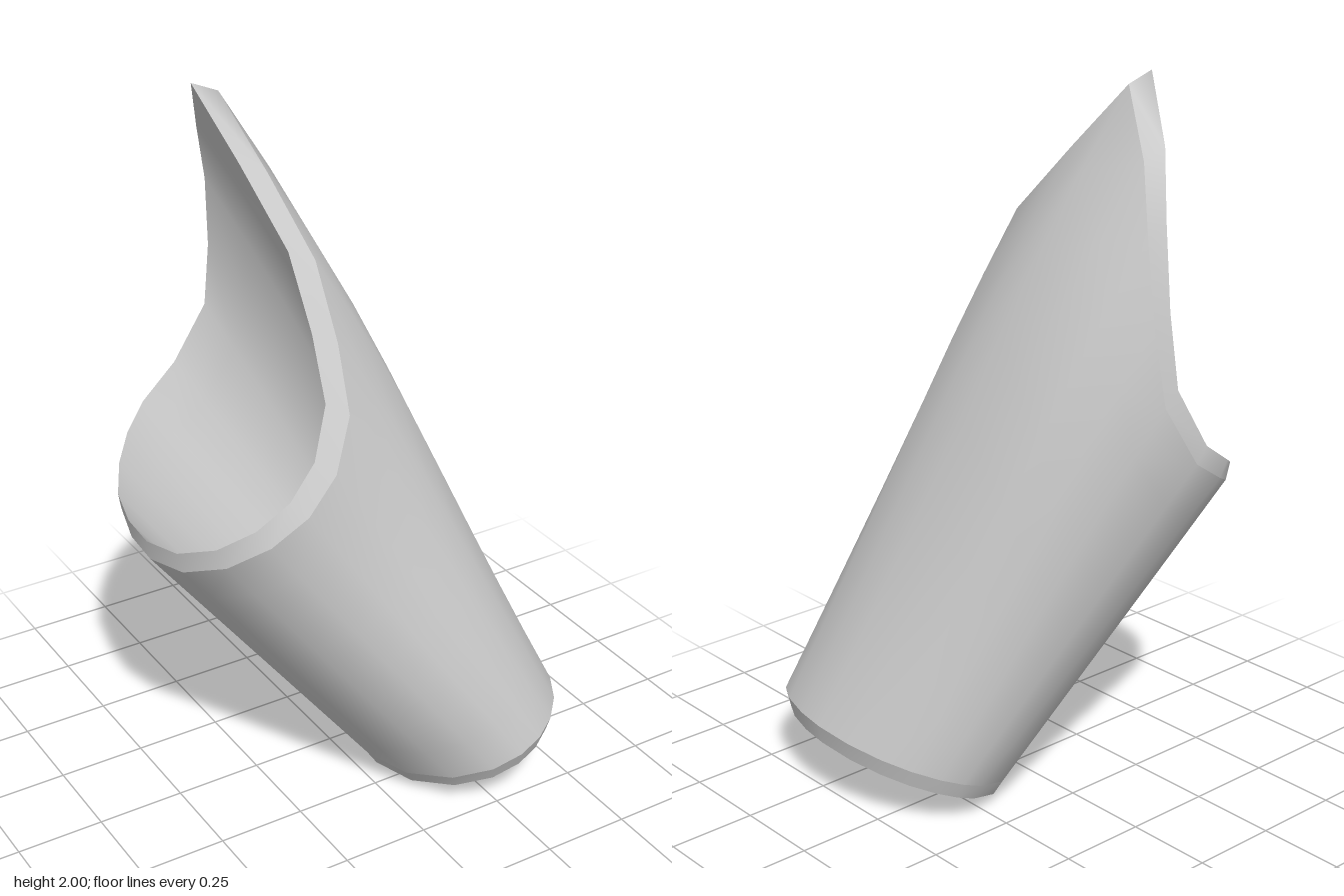
import * as THREE from 'three';

// Flared cuff: [angle around the tube in degrees, x, y, z] along the outer top edge
const RIM = [
  [0, -0.2, 1.97, -0.22], [14, -0.15, 1.79, -0.06], [30, -0.11, 1.6, 0.11],
  [45, -0.11, 1.41, 0.22], [60, -0.13, 1.25, 0.31], [75, -0.2, 1.12, 0.36],
  [90, -0.29, 1.03, 0.375], [108, -0.39, 0.96, 0.355], [130, -0.48, 0.89, 0.28],
  [155, -0.54, 0.83, 0.15], [180, -0.56, 0.8, 0], [195, -0.55, 0.8, -0.13],
  [212, -0.52, 0.82, -0.25], [230, -0.46, 0.86, -0.35], [248, -0.38, 0.9, -0.44],
  [270, -0.28, 0.95, -0.51], [282, -0.15, 1.03, -0.547], [295, -0.05, 1.2, -0.525],
  [310, -0.045, 1.4, -0.485], [325, -0.07, 1.62, -0.43], [342, -0.12, 1.8, -0.36],
].map(([deg, x, y, z]) => {
  const a = THREE.MathUtils.degToRad(deg);
  return { c: Math.cos(a), s: Math.sin(a), point: new THREE.Vector3(x, y, z) };
});

// Tilted ellipse at the narrow lower end
function lowerRing(cx, cy, rx, rz) {
  return RIM.map(({ c, s }) =>
    new THREE.Vector3(cx + rx * c, cy + 0.36 * rx * c + 0.09 * rz * s, 0.175 + rz * s));
}

// Rings running from one loop to another, bowed out on the tall side
function between(from, to, steps) {
  return Array.from({ length: steps + 1 }, (_, k) => {
    const u = k / steps;
    const bow = Math.sin(Math.PI * Math.pow(u, 2));
    return from.map((p, i) => {
      const { c, s } = RIM[i];
      const q = p.clone().lerp(to[i], u);
      q.x += 0.04 * bow * Math.max(c, 0) ** 2;
      q.z -= 0.007 * bow * (1 + s);
      return q;
    });
  });
}

// Smooth closed skin over a stack of rings
function loft(name, rings, material) {
  const n = rings[0].length, index = [];
  for (let j = 0; j < rings.length - 1; j++) {
    for (let i = 0; i < n; i++) {
      const k = (i + 1) % n;
      const a = j * n + i, b = a + n, c = j * n + k, d = c + n;
      index.push(a, b, c, c, b, d);
    }
  }
  const geometry = new THREE.BufferGeometry().setFromPoints(rings.flat());
  geometry.setIndex(index);
  geometry.computeVertexNormals();
  const mesh = new THREE.Mesh(geometry, material);
  mesh.name = name;
  return mesh;
}

export function createModel() {
  const material = new THREE.MeshStandardMaterial({ color: 0xcccccc });
  const group = new THREE.Group();
  group.name = 'cuff';

  const outerBottom = lowerRing(0.294, 0.142, 0.268, 0.372);
  const lip = lowerRing(0.302, 0.095, 0.25, 0.35);
  const innerBottom = lowerRing(0.302, 0.115, 0.238, 0.337);
  const outerTop = RIM.map(({ point }) => point);
  const innerTop = RIM.map(({ c, s, point: p }) =>
    new THREE.Vector3(p.x - 0.038 - 0.035 * c, p.y + 0.04 - 0.01 * c, p.z - 0.01 - 0.02 * s));

  const outer = between(outerBottom, outerTop, 8);
  const inner = between(innerBottom, innerTop, 8).reverse();

  // Outer wall, inner wall and the bevelled edges that join them
  group.add(
    loft('outerWall', outer, material),
    loft('topEdge', [outerTop, innerTop], material),
    loft('innerWall', inner, material),
    loft('lowerLip', [innerBottom, lip], material),
    loft('bottomEdge', [lip, outerBottom], material),
  );
  return group;
}
